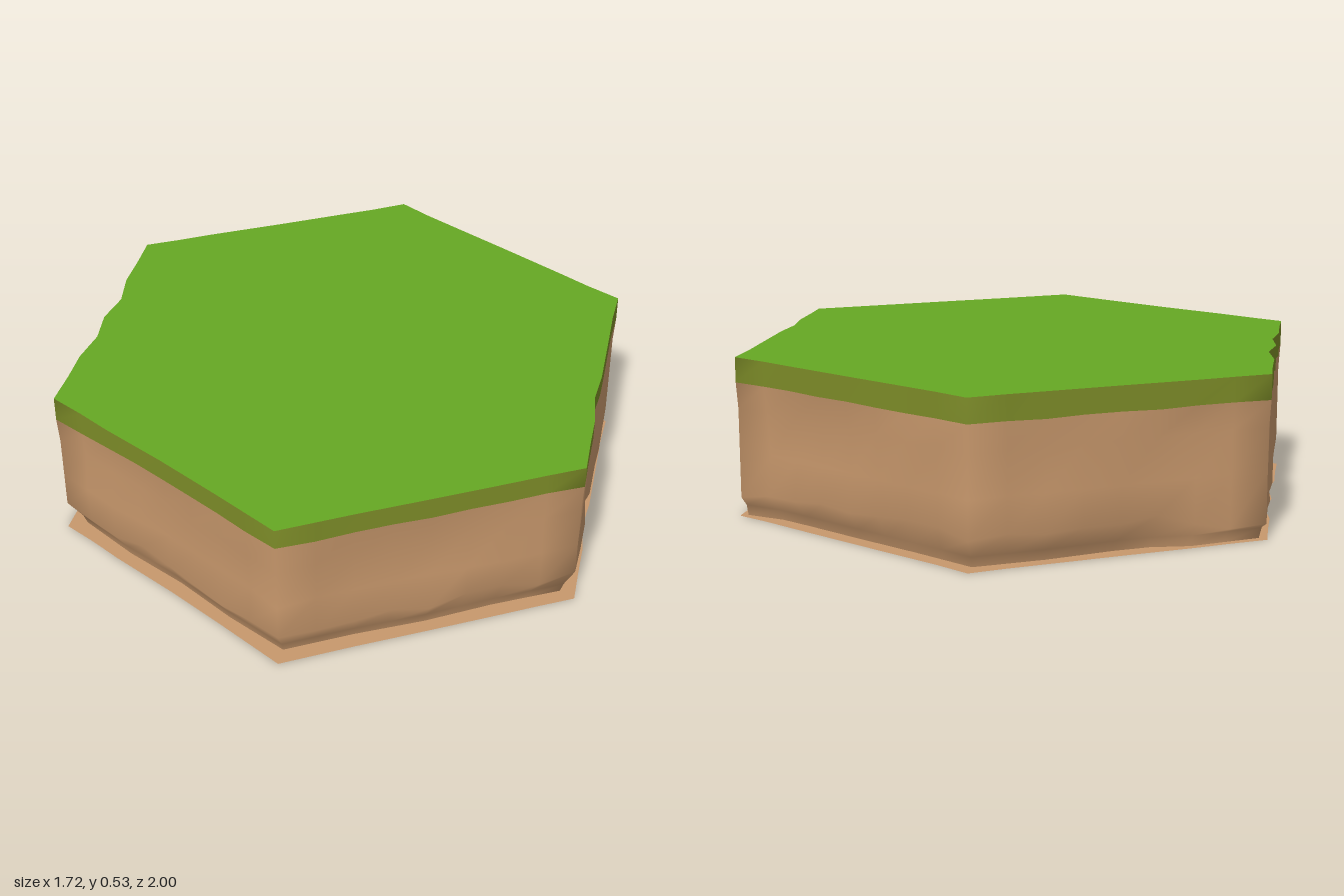
import * as THREE from 'three';

const SEG = 8;            // points along each hexagon side
const N = SEG * 6;
const TOP = 0.53, BAND = 0.46;

const grass = new THREE.MeshStandardMaterial({ color: 0x66a823, side: THREE.DoubleSide });
grass.name = 'grass green';
const turf = new THREE.MeshStandardMaterial({ color: 0x7d8c28, side: THREE.DoubleSide });
turf.name = 'olive turf';
const earth = new THREE.MeshStandardMaterial({ color: 0xc8986c, side: THREE.DoubleSide });
earth.name = 'earth brown';

// Seeded noise in 0..1
function makeRandom(seed) {
  return () => {
    seed = (seed * 16807) % 2147483647;
    return seed / 2147483647;
  };
}

// Point on the hexagon, pulled inwards by "inset"; i = 0 is the front corner
function hexPoint(i, inset, y) {
  const k = Math.floor(i / SEG) % 6, t = (i % SEG) / SEG;
  const a = k * Math.PI / 3, b = a + Math.PI / 3, s = 1 - inset;
  return [
    0.993 * s * (Math.sin(a) * (1 - t) + Math.sin(b) * t), y,
    s * (Math.cos(a) * (1 - t) + Math.cos(b) * t),
  ];
}

// Skin between closed rings listed from bottom to top, smooth normals
function skin(rings) {
  const index = [];
  for (let r = 0; r < rings.length - 1; r++) {
    for (let i = 0; i < N; i++) {
      const j = (i + 1) % N, a = r * N + i, b = r * N + j;
      index.push(a, b, b + N, a, b + N, a + N);
    }
  }
  const g = new THREE.BufferGeometry();
  g.setAttribute('position', new THREE.Float32BufferAttribute(rings.flat(2), 3));
  g.setIndex(index);
  g.computeVertexNormals();
  return g;
}

// Flat fan closing a ring
function cap(ring, y, up) {
  const index = [];
  for (let i = 0; i < N; i++) {
    const j = (i + 1) % N;
    index.push(N, up ? i : j, up ? j : i);
  }
  const g = new THREE.BufferGeometry();
  g.setAttribute('position', new THREE.Float32BufferAttribute([...ring.flat(), 0, y, 0], 3));
  g.setIndex(index);
  g.computeVertexNormals();
  return g;
}

export function createModel() {
  const group = new THREE.Group();
  const random = makeRandom(421);
  const ringOf = (f) => Array.from({ length: N }, (_, i) => f(i));
  const add = (name, geometry, material) => {
    const mesh = new THREE.Mesh(geometry, material);
    mesh.name = name;
    group.add(mesh);
  };

  // Shallow vertical cracks: one on the +x side, two on the -x side
  const notch = { 11: 0.014, 35: 0.025, 37: 0.02 };
  const isCorner = (i) => i % SEG === 0;

  // Slow waviness of the rock, constant over pairs of points
  const waves = (amount) => {
    const v = Array.from({ length: N / 2 }, () => random() * amount);
    return (i) => {
      const h = Math.floor(i / 2);
      return i % 2 ? (v[h] + v[(h + 1) % (N / 2)]) / 2 : v[h];
    };
  };
  const rimWave = waves(0.008), highWave = waves(0.022);
  const midWave = waves(0.03), lowWave = waves(0.016);
  const edge = (i) => (isCorner(i) ? 0 : rimWave(i) + (notch[i] || 0));
  const rock = (wave) => (i) => (isCorner(i) ? 0.006 : wave(i)) + (notch[i] || 0);
  const high = rock(highWave), mid = rock(midWave), low = rock(lowWave);

  // Rock foot curls under, less so on the smoother stretches
  const smooth = (i) => (i > 11 && i < 17) || (i > 29 && i < 40);
  const foot = (i) => (smooth(i) ? 0.02 : 0.055) + lowWave(i);
  const kneeY = ringOf((i) => 0.085 + random() * 0.035 - (smooth(i) ? 0.04 : 0));

  const rim = ringOf((i) => hexPoint(i, edge(i), TOP));
  const bandY = ringOf((i) => BAND - (i > 12 && i < 42 ? 0.012 : 0) + (random() - 0.5) * 0.006);
  const band = ringOf((i) => hexPoint(i, edge(i), bandY[i]));

  // Grass top and turf edge
  add('grassTop', cap(rim, TOP, true), grass);
  add('turfEdge', skin([band, rim]), turf);

  // Rocky earth wall
  add('earthWall', skin([
    ringOf((i) => hexPoint(i, foot(i), 0)),
    ringOf((i) => hexPoint(i, foot(i) * 0.8, 0.035)),
    ringOf((i) => hexPoint(i, low(i), kneeY[i])),
    ringOf((i) => hexPoint(i, mid(i), 0.22)),
    ringOf((i) => hexPoint(i, high(i), 0.36)),
    band,
  ]), earth);

  // Underside, reaching out past the foot as a thin lip
  add('underside', cap(ringOf((i) => hexPoint(i, edge(i), 0)), 0, false), earth);

  return group;
}
